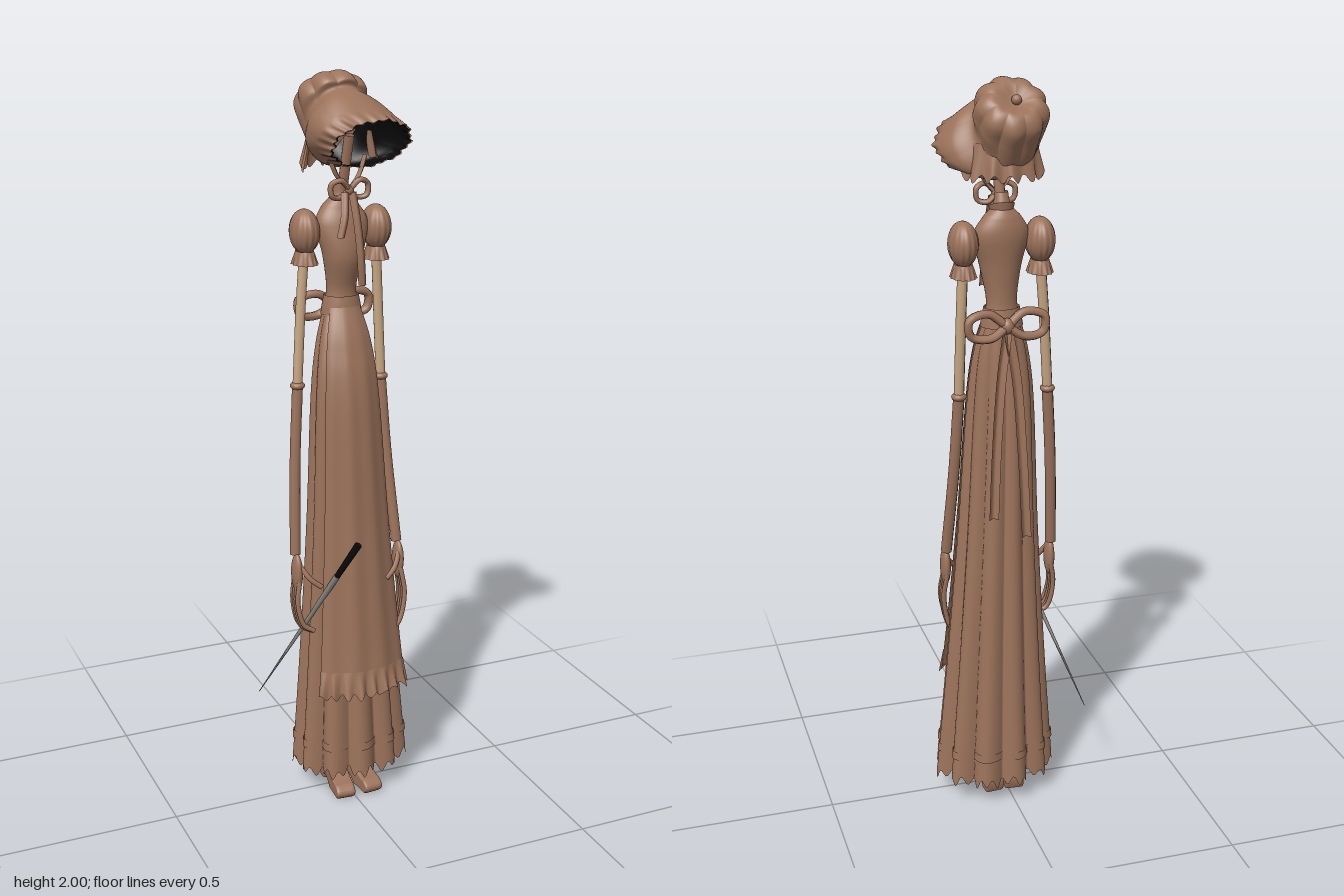
import * as THREE from 'three';
import { ParametricGeometry } from 'three/addons/geometries/ParametricGeometry.js';

const mat = (name, color, side = THREE.DoubleSide) =>
  Object.assign(new THREE.MeshStandardMaterial({ color, side }), { name });
const V = (x, y, z) => new THREE.Vector3(x, y, z);
const TAU = Math.PI * 2;

// Smoothly interpolates a table of rows, column by column
function sample(rows, t) {
  const f = Math.min(Math.max(t, 0), 1) * (rows.length - 1);
  const i = Math.min(Math.floor(f), rows.length - 2), w = f - i;
  const at = k => rows[Math.min(Math.max(k, 0), rows.length - 1)];
  return rows[0].map((_, c) => {
    const [a, b, d, e] = [at(i - 1)[c], at(i)[c], at(i + 1)[c], at(i + 2)[c]];
    return b + 0.5 * w * (d - a + w * (2 * a - 5 * b + 4 * d - e + w * (3 * (b - d) + e - a)));
  });
}

export function createModel() {
  const model = new THREE.Group();
  const cloth = mat('brown cloth', 0x9c735b);
  const skin = mat('pale skin', 0xc8a783);
  const black = mat('black lining', 0x0a0a0a);
  const steel = mat('grey steel', 0x85827c);
  const add = (name, geo, material = cloth, parent = model) => {
    const m = new THREE.Mesh(geo, material);
    m.name = name;
    parent.add(m);
    return m;
  };
  const surface = (fn, nu, nv) => new ParametricGeometry((u, v, p) => p.copy(fn(u, v)), nu, nv);
  const tube = (pts, r, n = 16) =>
    new THREE.TubeGeometry(new THREE.CatmullRomCurve3(pts), n, r, 8);
  // Flat ribbon along a path, spread across x
  const ribbon = (pts, width) => {
    const c = new THREE.CatmullRomCurve3(pts);
    return surface((u, v) => {
      const p = c.getPoint(v), s = u - 0.5;
      return p.add(V(s * width, 0, 0.006 * Math.cos(s * 5)));
    }, 6, 16);
  };
  const ball = (name, p, s, material, parent) => {
    const m = add(name, new THREE.SphereGeometry(1, 20, 14), material, parent);
    m.position.copy(p);
    m.scale.copy(s);
    return m;
  };

  // Pleated skirt: y, centre x, centre z, radius x, radius z
  const skirtRows = [
    [1.4, 0.013, -0.037, 0.045, 0.038], [1.3, 0.012, -0.022, 0.074, 0.062],
    [1.15, 0.012, -0.014, 0.092, 0.08], [0.8, 0.02, -0.018, 0.112, 0.094],
    [0.4, 0.028, -0.022, 0.142, 0.111], [0.075, 0.033, -0.022, 0.17, 0.13]];
  const skirtPoint = (a, t, out = 0, fold = 1) => {
    const [y, cx, cz, rx, rz] = sample(skirtRows, t);
    const f = 1 - fold * (0.05 + 0.13 * t) * (1 - Math.abs(Math.cos(5.5 * a + 0.3)));
    return V(cx + (rx * f + out) * Math.sin(a), y, cz + (rz * f + out) * Math.cos(a));
  };
  add('skirt', surface((u, v) => {
    const p = skirtPoint(u * TAU, v);
    if (v > 0.99) p.y += 0.012 * Math.sin(u * TAU * 33) + 0.006 * Math.sin(u * TAU * 14);
    return p;
  }, 198, 40));
  add('hemBand', surface((u, v) => skirtPoint(u * TAU, 0.925 + v * 0.015, 0.004), 198, 3));

  // Apron panel with a scalloped frill
  const apron = (u, v, out) => {
    const a = (u - 0.5) * (1.9 - 0.3 * v), t = 0.83 * v;
    const p = skirtPoint(a, t, 0.006 + 0.026 * v * v * v + out, 0.08);
    p.z += 0.003 * Math.sin(u * 21) * v;
    return p;
  };
  add('apron', surface((u, v) => apron(u, v, 0), 40, 40));
  add('apronFrill', surface((u, v) => {
    const p = apron(u, 0.965 + v * 0.045, 0.002 + v * 0.008 * (1 + Math.sin(u * 50)));
    p.y += v * 0.008 * Math.sin(u * 60);
    return p;
  }, 80, 5));

  // Bodice: y, centre x, centre z, radius x, radius z
  const bodice = [
    [1.38, 0.013, -0.036, 0.053, 0.043], [1.44, 0.013, -0.036, 0.04, 0.035],
    [1.53, 0.014, -0.028, 0.054, 0.048], [1.61, 0.015, -0.038, 0.072, 0.046],
    [1.655, 0.014, -0.043, 0.052, 0.035], [1.685, 0.013, -0.04, 0.024, 0.024],
    [1.72, 0.013, -0.033, 0.017, 0.017]];
  const oval = rows => (u, v) => {
    const [y, cx, cz, rx, rz] = sample(rows, v);
    return V(cx + rx * Math.sin(u * TAU), y, cz + rz * Math.cos(u * TAU));
  };
  add('bodice', surface(oval(bodice), 32, 30));
  add('waistband', surface(oval([[1.375, 0.013, -0.036, 0.056, 0.046],
    [1.4, 0.013, -0.036, 0.052, 0.044], [1.425, 0.013, -0.036, 0.047, 0.04]]), 32, 5));
  add('neck', tube([V(0.013, 1.66, -0.038), V(0.015, 1.74, -0.02), V(0.02, 1.84, 0)], 0.014));
  add('collar', surface((u, v) => {
    const a = Math.PI + (u - 0.5) * 4, r = 0.027 + 0.006 * v;
    return V(0.013 + r * Math.sin(a), 1.665 + v * (0.015 + 0.02 * Math.sin(u * Math.PI)), -0.038 + r * Math.cos(a));
  }, 24, 3));

  // Tied bows: two loops and a knot
  const bow = (name, x, y, z, w, h, r) => {
    const g = new THREE.Group();
    g.name = name;
    g.position.set(x, y, z);
    for (const s of [-1, 1]) {
      const pts = [V(0, 0, 0), V(s * w * 0.5, h, 0.005), V(s * w, h * 0.6, 0),
        V(s * w * 0.95, -h * 0.6, 0), V(s * w * 0.45, -h * 0.8, -0.005), V(0, 0, 0)];
      add('bowLoop', tube(pts, r, 32), cloth, g).scale.z = 1.4;
    }
    ball('bowKnot', V(0, 0, 0), V(r * 1.7, r * 1.9, r * 1.7), cloth, g);
    model.add(g);
  };
  bow('chinBow', 0.012, 1.705, 0.02, 0.05, 0.025, 0.007);
  bow('sashBow', 0.013, 1.385, -0.088, 0.1, 0.034, 0.011);
  add('chinTail', ribbon([V(0, 1.7, 0.025), V(-0.012, 1.64, 0.05), V(-0.025, 1.59, 0.055)], 0.022));
  add('chinTail', ribbon([V(0.02, 1.7, 0.025), V(0.026, 1.62, 0.045), V(0.032, 1.54, 0.052), V(0.04, 1.46, 0.045)], 0.022));
  for (const s of [-1, 1]) {
    add('chinStrap', ribbon([V(0.012 + s * 0.05, 1.79, 0.01), V(0.012 + s * 0.03, 1.74, 0.015), V(0.012, 1.705, 0.02)], 0.014));
    add('sashTail', ribbon([V(0.013, 1.38, -0.09), V(0.013 + s * 0.02, 1.25, -0.1),
      V(0.015 + s * 0.035, 1.05, -0.112), V(0.015 + s * 0.045, 0.84 + s * 0.03, -0.122)], 0.026));
  }

  // Puffed sleeves, long arms, gloves and hands; s = -1 is the right arm
  for (const s of [-1, 1]) {
    const arm = new THREE.Group();
    arm.name = s < 0 ? 'rightArm' : 'leftArm';
    model.add(arm);
    const x0 = s < 0 ? -0.086 : 0.116;
    add('puffSleeve', surface((u, v) => {
      const a = u * TAU, q = 0.03 + v * (Math.PI - 0.06);
      const k = Math.sin(q) * (1 + 0.04 * Math.cos(14 * a) * v);
      return V(x0 + 0.038 * k * Math.sin(a), 1.595 + 0.058 * Math.cos(q), -0.045 + 0.052 * k * Math.cos(a));
    }, 84, 20), cloth, arm);
    add('sleeveFrill', surface((u, v) => {
      const a = u * TAU, r = 0.023 + 0.01 * v + 0.002 * v * Math.sin(12 * a);
      return V(x0 + r * Math.sin(a), 1.545 - 0.035 * v, -0.045 + r * 1.3 * Math.cos(a));
    }, 72, 4), cloth, arm);
    const path = s < 0
      ? [V(x0, 1.56, -0.045), V(-0.1, 1.4, -0.04), V(-0.115, 1.19, -0.03), V(-0.13, 0.98, -0.015), V(-0.142, 0.73, 0.01)]
      : [V(x0, 1.56, -0.045), V(0.123, 1.4, -0.045), V(0.128, 1.19, -0.035), V(0.138, 0.98, -0.015), V(0.152, 0.73, 0.025)];
    add('upperArm', tube(path.slice(0, 3), 0.014), skin, arm);
    add('glove', tube(path.slice(2), 0.0155), cloth, arm);
    ball('gloveCuff', path[2], V(0.02, 0.012, 0.02), cloth, arm);
    const w = path[4];
    ball('palm', w.clone().add(V(0, -0.05, 0.012)), V(0.014, 0.055, 0.026), cloth, arm);
    for (let i = 0; i < 4; i++) {
      const z = w.z - 0.008 + i * 0.013, d = 0.025 * Math.sin(1 + i * 0.6);
      const pts = s < 0
        ? [V(w.x, 0.66, z), V(w.x - 0.008, 0.6, z + 0.006), V(w.x + 0.008, 0.54 - d * 0.6, z + 0.012), V(w.x + 0.035, 0.52 - d * 0.4, z + 0.016)]
        : [V(w.x, 0.66, z), V(w.x + 0.008, 0.59, z + 0.01), V(w.x - 0.005, 0.53 - d, z + 0.016), V(w.x - 0.02, 0.5 - d, z + 0.016)];
      add('finger', tube(pts, 0.007), cloth, arm);
    }
    add('thumb', tube([V(w.x, 0.71, w.z + 0.02), V(w.x - s * 0.025, 0.67, w.z + 0.045),
      V(w.x - s * 0.055, 0.645, w.z + 0.055)], 0.0075), cloth, arm);
  }

  // Long needle blade with a dark grip
  const tip = V(-0.205, 0.27, -0.12), end = V(-0.02, 0.79, 0.155);
  const rod = (name, a, b, ra, rb, material) => {
    const m = add(name, new THREE.CylinderGeometry(rb, ra, a.distanceTo(b), 8), material);
    m.position.lerpVectors(a, b, 0.5);
    m.quaternion.setFromUnitVectors(V(0, 1, 0), b.clone().sub(a).normalize());
  };
  const guard = tip.clone().lerp(end, 0.8);
  rod('blade', tip, guard, 0.001, 0.009, steel);
  rod('grip', guard, end, 0.008, 0.01, black);

  // Bonnet rings: centre xyz, half-width vector, half-height vector, puff depth
  const rings = [
    [0.045, 1.825, 0.085, 0.113, -0.005, -0.02, 0, 0.065, 0.066, 0.02],
    [0.03, 1.835, 0.045, 0.126, -0.008, -0.02, 0, 0.078, 0.063, 0.01],
    [0.015, 1.85, 0.002, 0.117, -0.008, -0.015, 0, 0.096, 0.055, 0.01],
    [0, 1.872, -0.035, 0.084, 0, 0, 0, 0.09, 0.055, 0.02],
    [-0.003, 1.908, -0.052, 0.09, 0, 0, 0, 0.072, 0.072, 0.08],
    [-0.005, 1.937, -0.08, 0.086, 0, 0, 0, 0.059, 0.067, 0.1],
    [-0.006, 1.955, -0.096, 0.058, 0, 0, 0, 0.037, 0.042, 0.1],
    [-0.008, 1.947, -0.09, 0.014, 0, 0, 0, 0.01, 0.011, 0.02],
    [-0.008, 1.947, -0.09, 0.002, 0, 0, 0, 0.0015, 0.0015, 0]];
  const bonnet = (scale, last) => (u, v) => {
    const r = sample(rings, v * last), a = u * TAU, t = v * last;
    const rag = t < 0.13 ? (0.13 - t) / 0.13 : 0;
    const k = scale * (1 + r[9] * (Math.abs(Math.cos(4.5 * a)) - 0.6)
      + rag * (0.035 * Math.sin(23 * a) + 0.025 * Math.sin(9 * a + 1)));
    const c = Math.cos(a) * k, d = Math.sin(a) * k;
    return V(r[0] + r[3] * c, r[1] + r[4] * c + r[7] * d, r[2] + r[5] * c + r[8] * d);
  };
  add('bonnet', surface(bonnet(1, 1), 144, 56));
  add('bonnetLining', surface(bonnet(0.96, 0.5), 144, 24), black);
  add('bonnetButton', new THREE.SphereGeometry(0.013, 14, 10)).position.set(-0.008, 1.952, -0.094);
  // Torn frill hanging around the nape
  add('napeFrill', surface((u, v) => {
    const a = Math.PI + (u - 0.5) * 3.4, r = 0.078 + 0.014 * v + 0.006 * v * Math.sin(u * 40);
    return V(0.005 + r * 1.1 * Math.sin(a), 1.845 - 0.085 * v + v * 0.01 * Math.sin(u * 55), -0.025 + r * 0.85 * Math.cos(a));
  }, 90, 6));

  // Heeled shoes and ankles
  const shoeShape = new THREE.Shape();
  shoeShape.moveTo(-0.06, 0);
  shoeShape.lineTo(-0.035, 0);
  shoeShape.quadraticCurveTo(-0.03, 0.022, -0.012, 0.022);
  shoeShape.quadraticCurveTo(0.015, 0.018, 0.03, 0);
  shoeShape.lineTo(0.092, 0);
  shoeShape.quadraticCurveTo(0.115, 0.016, 0.085, 0.03);
  shoeShape.quadraticCurveTo(0.04, 0.036, 0.015, 0.062);
  shoeShape.lineTo(-0.055, 0.065);
  shoeShape.quadraticCurveTo(-0.075, 0.035, -0.06, 0);
  const shoeGeo = new THREE.ExtrudeGeometry(shoeShape, { depth: 0.034, bevelEnabled: true,
    bevelSize: 0.004, bevelThickness: 0.01, bevelSegments: 3, curveSegments: 8 });
  shoeGeo.translate(0, 0.004, -0.017).rotateY(-Math.PI / 2);
  for (const x of [-0.022, 0.046]) {
    const shoe = add('shoe', shoeGeo);
    shoe.position.x = x;
    shoe.rotation.y = x < 0 ? -0.08 : 0.08;
    add('ankle', new THREE.CylinderGeometry(0.022, 0.024, 0.25, 14)).position.set(x, 0.17, -0.022);
  }
  return model;
}
